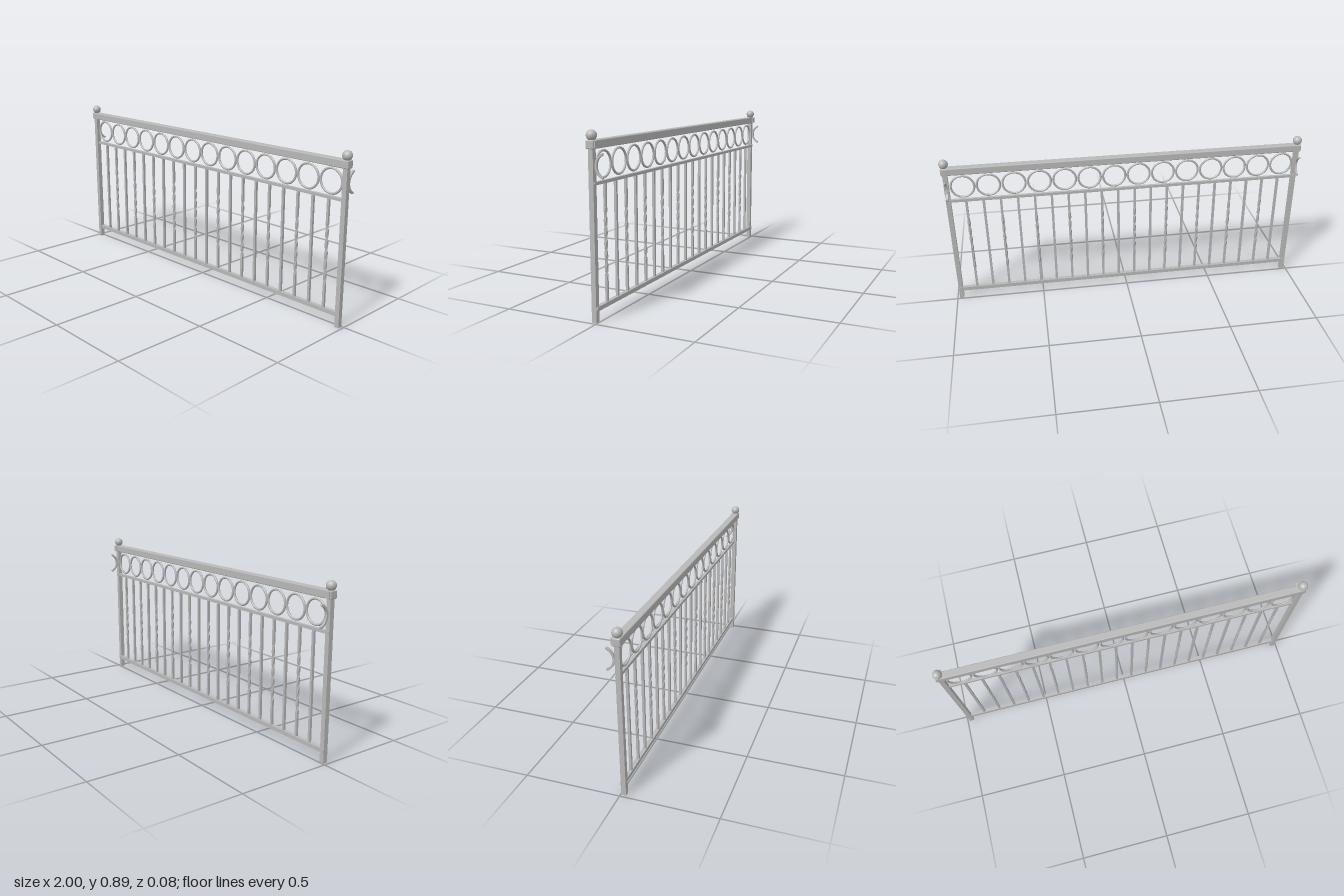
import * as THREE from 'three';
import { RoundedBoxGeometry } from 'three/addons/geometries/RoundedBoxGeometry.js';

const iron = new THREE.MeshStandardMaterial({ color: 0xb8b8b8 });
iron.name = 'grey iron';

const POST_X = 0.975, POST_Z = 0.016, FILL_Z = 0.012;
const MIDDLE_Y = 0.644, BOTTOM_Y = 0.064;

export function createModel() {
  const model = new THREE.Group();
  model.name = 'railing';

  const add = (name, geometry, x, y, z) => {
    const mesh = new THREE.Mesh(geometry, iron);
    mesh.name = name;
    mesh.position.set(x, y, z);
    model.add(mesh);
    return mesh;
  };

  // Horizontal rails: rounded handrail, then two slim rails set slightly back
  add('handrail', new RoundedBoxGeometry(1.99, 0.04, 0.041, 2, 0.005), 0, 0.82, POST_Z);
  add('middleRail', new THREE.BoxGeometry(1.94, 0.015, 0.016), 0, MIDDLE_Y, 0.010);
  add('bottomRail', new THREE.BoxGeometry(1.94, 0.021, 0.021), 0, BOTTOM_Y, 0.011);

  // Posts with ball finials, rear plates, rear scrolls and round rail ends
  const postGeo = new THREE.BoxGeometry(0.025, 0.805, 0.025);
  const neckGeo = new THREE.CylinderGeometry(0.011, 0.014, 0.008, 20);
  const ballGeo = new THREE.SphereGeometry(0.025, 28, 18);
  const plateGeo = new THREE.BoxGeometry(0.026, 0.034, 0.007);
  const scrollGeo = arcBar(0.0575, 0.01, 0.012, 1.2);
  const middleEndGeo = new THREE.CylinderGeometry(0.008, 0.008, 0.008, 20).rotateX(Math.PI / 2);
  const bottomEndGeo = new THREE.CylinderGeometry(0.011, 0.011, 0.008, 20).rotateX(Math.PI / 2);
  for (const side of [-1, 1]) {
    const x = side * POST_X;
    add('post', postGeo, x, 0.4025, POST_Z);
    add('finialNeck', neckGeo, x, 0.84, POST_Z);
    add('finialBall', ballGeo, x, 0.861, POST_Z);
    add('rearPlate', plateGeo, x, 0.82, -0.007);
    add('middleRailEnd', middleEndGeo, x, MIDDLE_Y, 0.0035);
    add('bottomRailEnd', bottomEndGeo, x, BOTTOM_Y, 0.003);
    // The convex side of the scroll rests against the back of the post
    add('rearScroll', scrollGeo, x, 0.725, -0.0625).rotation.y = -Math.PI / 2;
  }

  // Row of rings under the handrail
  const ringGeo = new THREE.TorusGeometry(0.062, 0.006, 8, 40);
  for (let i = 0; i < 14; i++) {
    add('ring', ringGeo, (i - 6.5) * 0.137, 0.725, FILL_Z);
  }

  // Balusters: every second one is twisted through its middle
  const plainGeo = new THREE.BoxGeometry(0.013, 0.568, 0.013);
  const twistGeo = twistedBar(0.0125, 0.568, 0.33, Math.PI * 3);
  for (let i = 0; i < 20; i++) {
    const twisted = i % 2 === 1;
    add(twisted ? 'twistedBaluster' : 'baluster', twisted ? twistGeo : plainGeo,
      (i - 9.5) * 0.0927, 0.356, FILL_Z);
  }

  return model;
}

// Flat bar bent to an arc around +x, of the given half angle
function arcBar(radius, thickness, width, halfAngle) {
  const shape = new THREE.Shape();
  shape.absarc(0, 0, radius + thickness / 2, -halfAngle, halfAngle, false);
  shape.absarc(0, 0, radius - thickness / 2, halfAngle, -halfAngle, true);
  shape.closePath();
  const geometry = new THREE.ExtrudeGeometry(shape, {
    depth: width, bevelEnabled: false, curveSegments: 20,
  });
  return geometry.translate(0, 0, -width / 2);
}

// Square bar whose middle span is twisted about its own axis
function twistedBar(size, height, span, angle) {
  const geometry = new THREE.BoxGeometry(size, height, size, 1, 72, 1);
  const pos = geometry.attributes.position;
  const v = new THREE.Vector3();
  const up = new THREE.Vector3(0, 1, 0);
  for (let i = 0; i < pos.count; i++) {
    v.fromBufferAttribute(pos, i);
    const t = THREE.MathUtils.clamp(v.y / span + 0.5, 0, 1);
    v.applyAxisAngle(up, t * angle);
    pos.setXYZ(i, v.x, v.y, v.z);
  }
  geometry.computeVertexNormals();
  return geometry;
}
